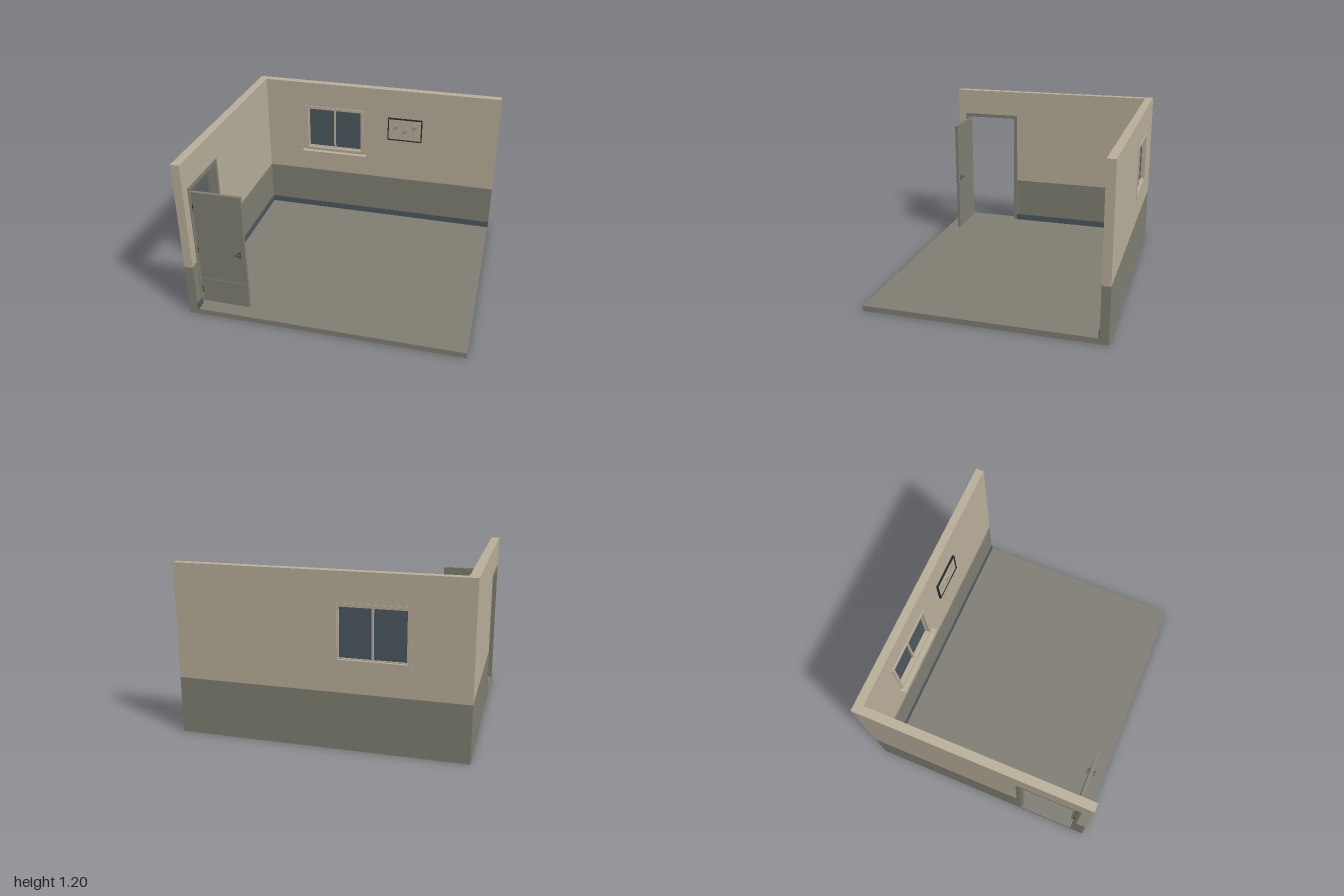
import * as THREE from 'three';

const mat = (name, color) => {
  const m = new THREE.MeshStandardMaterial({ color });
  m.name = name;
  return m;
};

export function createModel() {
  const beige = mat('beige', 0xb9af9a);
  const sage = mat('sage grey', 0x7f7f72);
  const stone = mat('stone floor', 0x807d72);
  const slate = mat('slate blue', 0x4c5860);
  const dark = mat('dark trim', 0x23292e);
  const room = new THREE.Group();
  room.name = 'room';

  const part = (name, parent = room) => {
    const g = new THREE.Group();
    g.name = name;
    parent.add(g);
    return g;
  };
  // Box given by its lower and upper limits on each axis
  const box = (name, m, [x0, x1], [y0, y1], [z0, z1], parent = room) => {
    const mesh = new THREE.Mesh(new THREE.BoxGeometry(x1 - x0, y1 - y0, z1 - z0), m);
    mesh.position.set((x0 + x1) / 2, (y0 + y1) / 2, (z0 + z1) / 2);
    mesh.name = name;
    parent.add(mesh);
    return mesh;
  };
  const rect = (P, x0, x1, y0, y1) => {
    const p = new P();
    p.moveTo(x0, y0).lineTo(x1, y0).lineTo(x1, y1).lineTo(x0, y1).closePath();
    return p;
  };
  // Upright panel in the x-y plane with one rectangular hole
  const holed = (name, m, outer, hole, [z0, z1], parent = room) => {
    const s = rect(THREE.Shape, ...outer);
    s.holes.push(rect(THREE.Path, ...hole));
    const geo = new THREE.ExtrudeGeometry(s, { depth: z1 - z0, bevelEnabled: false });
    const mesh = new THREE.Mesh(geo.translate(0, 0, z0), m);
    mesh.name = name;
    parent.add(mesh);
  };

  const L = -0.997, LI = -0.935, B = -0.845, BI = -0.785, F = 0.845;
  const floorY = 0.04, dadoY = 0.4, top = 1.2;

  box('floor', stone, [L, 1], [0.002, floorY], [B, F]);
  box('floorEdge', sage, [L, 1], [0, floorY - 0.002], [B - 0.0005, F + 0.0005]);

  // Back wall with a window opening
  const back = part('backWall');
  box('backWallLower', sage, [L, 1], [floorY, dadoY], [B, BI], back);
  holed('backWallUpper', beige, [L, 1, dadoY, top], [-0.59, -0.115, 0.615, 0.985], [B, BI], back);

  // Side wall, split around the doorway
  const side = part('sideWall');
  const d0 = 0.325, d1 = 0.76, dTop = 0.98;
  for (const [z0, z1] of [[BI, d0], [d1, F]]) {
    box('sideWallLower', sage, [L, LI], [floorY, dadoY], [z0, z1], side);
    box('sideWallUpper', beige, [L, LI], [dadoY, dTop], [z0, z1], side);
  }
  box('sideWallHeader', beige, [L, LI], [dTop, top], [BI, F], side);

  // Skirting and dado rail along the inside
  const trim = part('wallTrim');
  for (const [name, m, y, t] of [['skirting', slate, [floorY, 0.09], 0.008], ['dadoRail', sage, [0.398, 0.41], 0.008]]) {
    box(name, m, [LI, 1], y, [BI, BI + t], trim);
    box(name, m, [LI, LI + t], y, [BI + t, 0.31], trim);
    box(name, m, [LI, LI + t], y, [0.775, F], trim);
  }

  // Door frame
  const frame = part('doorFrame');
  const fx = [-1.0, -0.928];
  box('jamb', sage, fx, [floorY, 0.995], [0.31, 0.338], frame);
  box('jamb', sage, fx, [floorY, 0.995], [0.75, 0.775], frame);
  box('doorHead', sage, fx, [0.967, 0.995], [0.338, 0.75], frame);
  box('doorStop', sage, [-0.985, -0.955], [floorY, 0.967], [0.338, 0.346], frame);

  // Open door leaf
  const door = part('door');
  box('doorLeaf', sage, [-0.93, -0.575], [0.05, 0.957], [0.727, 0.75], door);
  box('kickPlate', sage, [-0.92, -0.59], [0.055, 0.255], [0.75, 0.754], door);
  for (const s of [-1, 1]) {
    const face = 0.7385 + s * 0.0115;
    const span = (a, b) => [face + s * a, face + s * b].sort((p, q) => p - q);
    box('handlePlate', slate, [-0.628, -0.604], [0.472, 0.522], span(0, 0.004), door);
    box('handleStem', slate, [-0.62, -0.61], [0.495, 0.505], span(0.004, 0.014), door);
    box('handleLever', slate, [-0.648, -0.608], [0.495, 0.505], span(0.012, 0.02), door);
  }
  for (const y of [0.16, 0.5, 0.84]) box('hinge', dark, [-0.934, -0.924], [y - 0.025, y + 0.025], [0.745, 0.753], door);

  // Window: casing, glass, mullion and sill
  const win = part('window');
  holed('windowCasing', beige, [-0.605, -0.098, 0.598, 0.997], [-0.58, -0.123, 0.625, 0.975], [B - 0.004, BI + 0.009], win);
  holed('sash', beige, [-0.582, -0.121, 0.623, 0.977], [-0.574, -0.129, 0.631, 0.969], [-0.832, -0.8], win);
  box('glass', slate, [-0.578, -0.125], [0.627, 0.973], [-0.819, -0.813], win);
  box('mullion', beige, [-0.359, -0.346], [0.627, 0.973], [-0.832, -0.796], win);
  box('windowSill', beige, [-0.625, -0.075], [0.586, 0.6], [BI, -0.74], win);

  // Notice board with three written sheets
  const board = part('noticeBoard');
  holed('boardFrame', dark, [0.108, 0.392, 0.768, 0.962], [0.116, 0.384, 0.776, 0.954], [BI, -0.77], board);
  box('boardPanel', beige, [0.116, 0.384], [0.776, 0.954], [BI, -0.776], board);
  for (const [x, y] of [[0.17, 0.873], [0.252, 0.847], [0.33, 0.885]]) {
    box('sheet', beige, [x - 0.027, x + 0.027], [y - 0.035, y + 0.035], [-0.776, -0.773], board);
    for (let i = -1; i <= 1; i++) {
      const end = i < 0 ? 0.01 : 0.019;
      box('writing', sage, [x - 0.019, x + end], [y + i * 0.01 - 0.002, y + i * 0.01 + 0.002], [-0.773, -0.772], board);
    }
  }
  return room;
}
